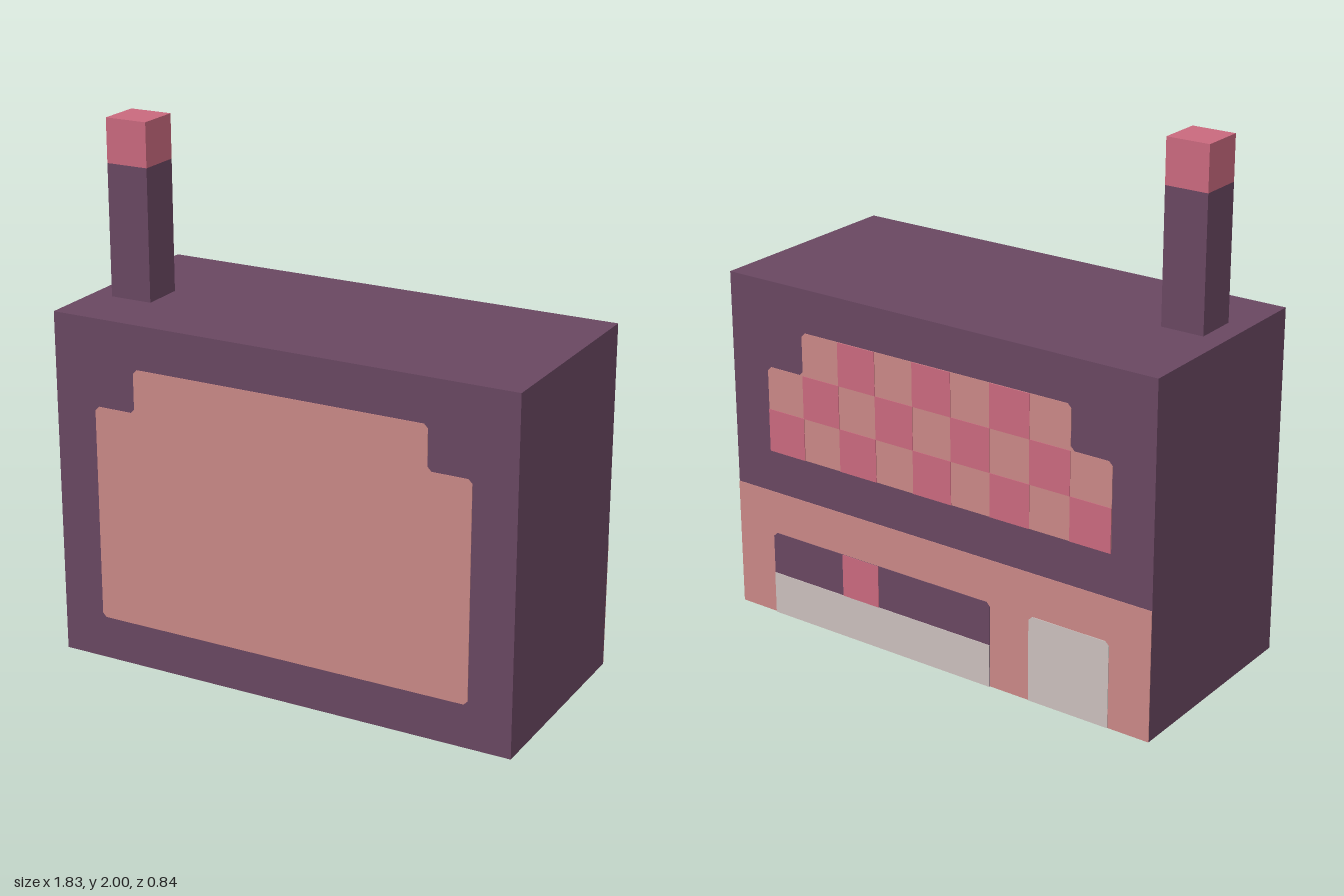
import * as THREE from 'three';

const U = 1 / 12; // one modelling unit
const mat = (name, color) => {
  const m = new THREE.MeshStandardMaterial({ color });
  m.name = name;
  return m;
};

export function createModel() {
  const plum = mat('plum', 0x694761);
  const salmon = mat('salmon', 0xc98886);
  const rose = mat('rose', 0xc9697e);
  const stone = mat('stone', 0xcabfbc);

  const model = new THREE.Group();
  model.name = 'building';

  // Box given by its unit bounds
  const box = (name, material, x0, x1, y0, y1, z0, z1, parent = model) => {
    const mesh = new THREE.Mesh(
      new THREE.BoxGeometry((x1 - x0) * U, (y1 - y0) * U, (z1 - z0) * U), material);
    mesh.position.set((x0 + x1) / 2 * U, (y0 + y1) / 2 * U, (z0 + z1) / 2 * U);
    mesh.name = name;
    parent.add(mesh);
    return mesh;
  };

  // Thin plate with an outline in units; every corner above the ground is slightly clipped
  const plate = (name, material, points, z, thickness) => {
    const shape = new THREE.Shape();
    const c = 0.18;
    const pts = points.map(p => new THREE.Vector2(...p));
    const out = [];
    pts.forEach((p, i) => {
      if (p.y === 0) { out.push(p); return; }
      for (const q of [pts.at(i - 1), pts[(i + 1) % pts.length]]) {
        out.push(p.clone().add(q.clone().sub(p).setLength(c)));
      }
    });
    shape.setFromPoints(out.map(p => p.multiplyScalar(U)));
    const mesh = new THREE.Mesh(
      new THREE.ExtrudeGeometry(shape, { depth: thickness * U, bevelEnabled: false }), material);
    mesh.position.z = z * U;
    mesh.name = name;
    model.add(mesh);
  };

  // Main block and chimney
  box('body', plum, -11, 11, 0, 16, -5, 5);
  box('chimney', plum, -10, -8, 16, 22, 0, 2);
  box('chimneyCap', rose, -10, -8, 22, 24, 0, 2);

  // Stepped panel on the front
  plate('frontPanel', salmon,
    [[-9, 2], [9, 2], [9, 12], [7, 12], [7, 14], [-7, 14], [-7, 12], [-9, 12]], 5, 0.03);

  // Lower storey on the back, with door, shop window and counter
  box('lowerWall', salmon, -11, 11, 0, 6, -5.03, -5);
  plate('door', stone, [[-9, 0], [-5, 0], [-5, 4], [-9, 4]], -5.06, 0.03);
  plate('shopWindow', plum, [[-3, 0], [9, 0], [9, 4], [-3, 4]], -5.06, 0.03);
  box('counter', stone, -3, 9, 0, 2, -5.09, -5.06);
  box('windowPost', rose, 3, 5, 2, 4, -5.09, -5.06);

  // Chequered panel on the back: stepped plate with rose squares
  plate('chequerBase', salmon,
    [[-9, 8], [9, 8], [9, 12], [7, 12], [7, 14], [-7, 14], [-7, 12], [-9, 12]], -5.03, 0.03);
  const squares = new THREE.Group();
  squares.name = 'chequerSquares';
  model.add(squares);
  for (let row = 0; row < 3; row++) {
    for (let col = row % 2; col < 9; col += 2) {
      if (row === 2 && (col === 0 || col === 8)) continue;
      const x = -9 + col * 2, y = 8 + row * 2;
      box('chequerSquare', rose, x, x + 2, y, y + 2, -5.06, -5.03, squares);
    }
  }
  // Top row is offset so that the squares alternate with the row below
  return model;
}
